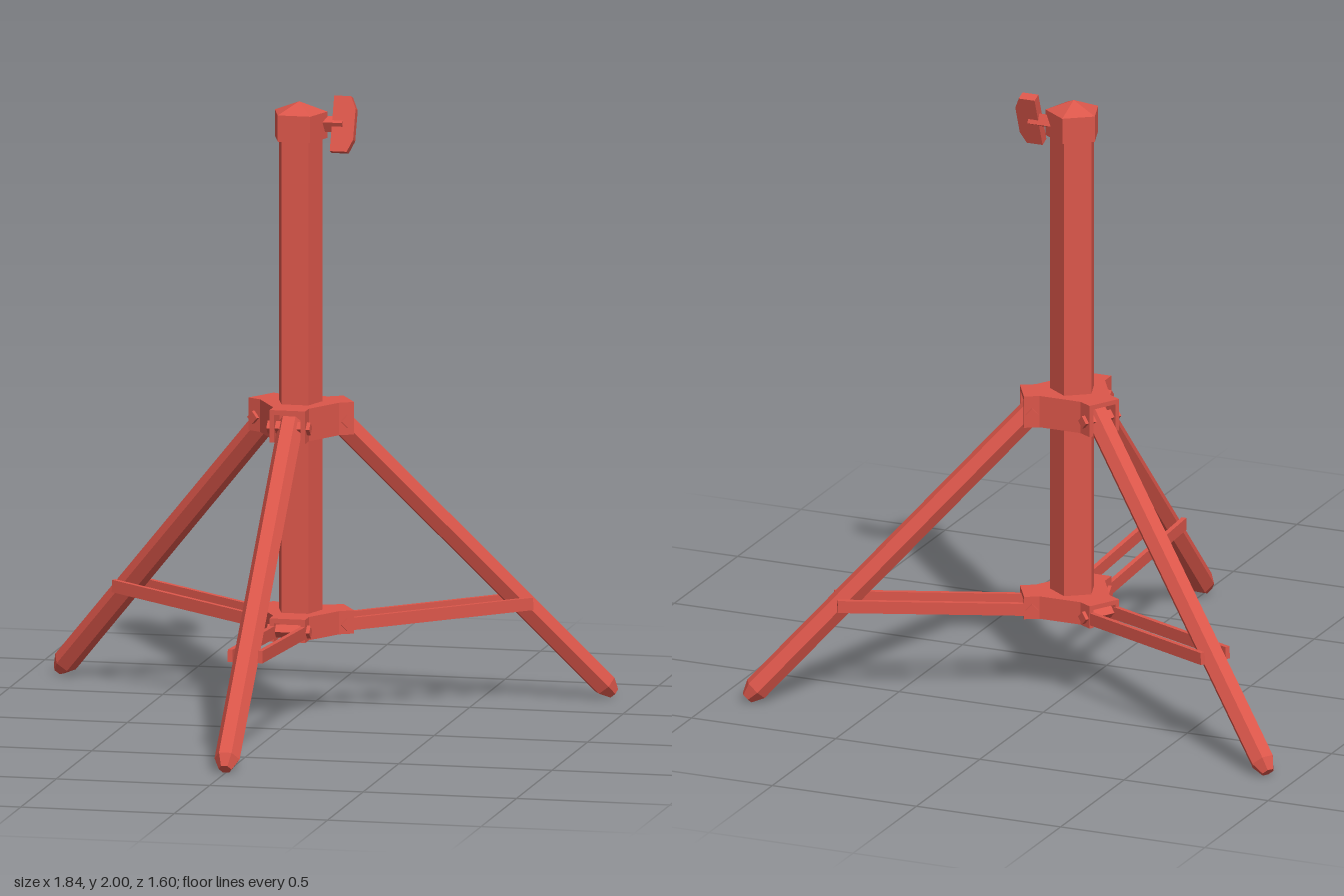
import * as THREE from 'three';

const red = new THREE.MeshStandardMaterial({ color: 0xdb564a, flatShading: true });
red.name = 'red paint';

function add(parent, name, geometry, x = 0, y = 0, z = 0) {
  const mesh = new THREE.Mesh(geometry, red);
  mesh.name = name;
  mesh.position.set(x, y, z);
  parent.add(mesh);
  return mesh;
}

// Prism with chosen side count and vertex start angle
const prism = (rTop, rBottom, h, sides, start = 0) =>
  new THREE.CylinderGeometry(rTop, rBottom, h, sides, 1, false, start);

// Three-armed plate; arms are optionally slotted into forks
function hubPlate(yBottom, yTop, slotted) {
  const w = 0.058, s = 0.043, inner = 0.115, outer = 0.165;
  const arm = slotted
    ? [[-w, inner], [-w, outer], [-s, outer], [-s, 0.09], [s, 0.09], [s, outer], [w, outer], [w, inner]]
    : [[-w, inner], [-w, outer], [w, outer], [w, inner]];
  const points = [];
  for (let k = 0; k < 3; k++) {
    const c = Math.cos(k * Math.PI * 2 / 3), n = Math.sin(k * Math.PI * 2 / 3);
    for (const [u, r] of arm) points.push(new THREE.Vector2(u * c + r * n, -u * n + r * c));
  }
  const geometry = new THREE.ExtrudeGeometry(new THREE.Shape(points), { depth: yTop - yBottom, bevelEnabled: false });
  return geometry.rotateX(Math.PI / 2).translate(0, yTop, 0);
}

export function createModel() {
  const model = new THREE.Group();
  model.name = 'tripodStand';
  const stand = new THREE.Group();
  stand.name = 'stand';
  stand.position.z = -0.26;
  model.add(stand);

  // Five-sided pole and pointed cap
  add(stand, 'pole', prism(0.075, 0.075, 1.6, 5, Math.PI), 0, 1.075);
  add(stand, 'capCollar', prism(0.09, 0.09, 0.085, 5, Math.PI), 0, 1.9075);
  add(stand, 'capPoint', new THREE.ConeGeometry(0.09, 0.035, 5, 1, false, Math.PI), 0, 1.9675);

  // Wing knob on the cap's side
  const knob = new THREE.Group();
  knob.name = 'wingKnob';
  knob.position.set(0, 1.911, -0.023);
  knob.rotation.x = -0.36;
  stand.add(knob);
  add(knob, 'knobStem', prism(0.026, 0.026, 0.08, 4).rotateZ(Math.PI / 2), 0.1);
  const wing = new THREE.Shape([
    [0.105, -0.09], [0.16, -0.09], [0.178, -0.05], [0.178, 0.05], [0.16, 0.09], [0.105, 0.09],
  ].map(([x, y]) => new THREE.Vector2(x, y)));
  add(knob, 'knobWing', new THREE.ExtrudeGeometry(wing, { depth: 0.032, bevelEnabled: false }), 0, 0, -0.016);

  // Forked hubs holding the legs and the struts
  for (const [name, bottom, top] of [['upperHub', 0.91, 1.015], ['lowerHub', 0.267, 0.342]]) {
    add(stand, name + 'Forks', hubPlate(bottom, top - 0.015, true));
    add(stand, name + 'Top', hubPlate(top - 0.015, top, false));
  }

  // Leg runs from the upper hub to the floor
  const topR = 0.115, topY = 0.968, footR = 1.043, footY = 0.017;
  const length = Math.hypot(footR - topR, topY - footY), tip = 0.04;

  for (let k = 0; k < 3; k++) {
    const arm = new THREE.Group();
    arm.name = 'legAssembly' + (k + 1);
    arm.rotation.y = k * Math.PI * 2 / 3;
    stand.add(arm);

    // Six-sided leg with tapered foot
    const leg = new THREE.Group();
    leg.name = 'leg';
    leg.position.set(0, topY, topR);
    leg.rotation.x = -Math.atan2(footR - topR, topY - footY);
    arm.add(leg);
    add(leg, 'legShaft', prism(0.041, 0.041, length - tip, 6, Math.PI / 6), 0, -(length - tip) / 2);
    add(leg, 'foot', prism(0.041, 0.021, tip, 6, Math.PI / 6), 0, -length + tip / 2);

    // Paired struts, one on each side of the leg
    const r0 = 0.162, r1 = 0.76, y0 = 0.298, y1 = 0.33;
    for (const side of [-1, 1]) {
      const strut = add(arm, 'strut', new THREE.BoxGeometry(0.016, 0.04, Math.hypot(r1 - r0, y1 - y0)),
        side * 0.049, (y0 + y1) / 2, (r0 + r1) / 2);
      strut.rotation.x = -Math.atan2(y1 - y0, r1 - r0);
    }

    // Pivot bolts through both forks
    for (const y of [0.955, 0.298])
      add(arm, 'pivotBolt', prism(0.021, 0.021, 0.14, 4).rotateZ(Math.PI / 2), 0, y, 0.14);
  }
  return model;
}
